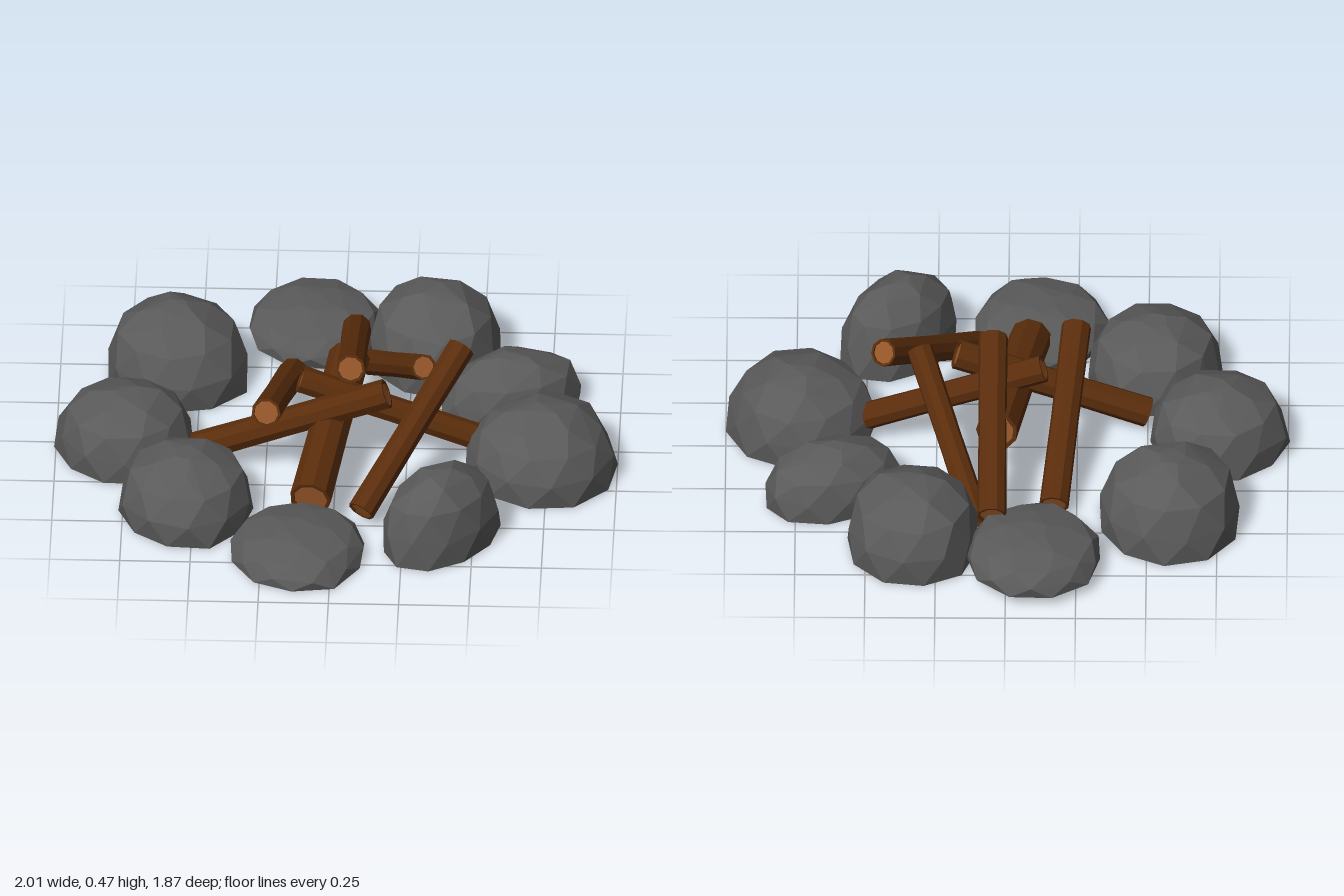
import * as THREE from 'three';
import { ConvexGeometry } from 'three/addons/geometries/ConvexGeometry.js';

const stone = new THREE.MeshStandardMaterial({ color: 0x5a5a5a, flatShading: true });
stone.name = 'grey stone';
const bark = new THREE.MeshStandardMaterial({ color: 0x5a2d0c, flatShading: true });
bark.name = 'dark bark';
const wood = new THREE.MeshStandardMaterial({ color: 0x96572a, flatShading: true });
wood.name = 'cut wood';

let seed = 11;
function jitter(amount) {
  seed = (seed * 16807) % 2147483647;
  return (seed / 2147483647 - 0.5) * 2 * amount;
}

// Stones: centre, half sizes, top height, turn about y, direction of the pointed corner
const rocks = [
  { name: 'backStone', at: [-.1, -.69], half: [.24, .25], top: .17, base: .05, nose: 1.3 },
  { name: 'backLeftStone', at: [.33, -.575], half: [.235, .25], top: .31, nose: 1.4 },
  { name: 'leftBackStone', at: [.615, -.28], half: [.25, .17], top: .23, turn: -.35, nose: Math.PI },
  { name: 'leftStone', at: [.735, .12], half: [.26, .265], top: .27, nose: 3 },
  { name: 'frontLeftStone', at: [.385, .58], half: [.235, .17], top: .31, turn: -.8, nose: .5 },
  { name: 'frontStone', at: [-.12, .685], half: [.235, .25], top: .13, nose: 1 },
  { name: 'frontRightStone', at: [-.525, .42], half: [.235, .25], top: .26, nose: 1.2 },
  { name: 'rightStone', at: [-.75, .035], half: [.24, .24], top: .26, nose: Math.PI },
  { name: 'backRightStone', at: [-.585, -.44], half: [.25, .25], top: .31, nose: .4 },
];

// Flat-bottomed faceted dome: rings shrink from the footprint to the crown
function makeRock({ name, at, half, top, base = 0.015, turn = 0, nose }) {
  const corners = 10;
  const rings = [[0, 1], [0.36, 0.98], [0.7, 0.83], [0.92, 0.52], [1, 0.2]];
  const points = [];
  rings.forEach(([level, scale], r) => {
    const step = r > 2 ? 2 : 1; // fewer, larger facets near the crown
    for (let i = 0; i < corners; i += step) {
      const angle = nose + ((i + (r % 2) / 2) / corners) * Math.PI * 2;
      const k = scale * (i === 0 && r < 2 ? 1.07 : 1.01) + jitter(0.03);
      const drop = r ? Math.min(0, jitter(0.06)) : 0;
      points.push(new THREE.Vector3(
        Math.cos(angle) * half[0] * k,
        base + (top - base) * (level + drop),
        Math.sin(angle) * half[1] * k));
    }
  });
  const mesh = new THREE.Mesh(new ConvexGeometry(points), stone);
  mesh.name = name;
  mesh.position.set(at[0], 0, at[1]);
  mesh.rotation.y = -turn;
  return mesh;
}

// Logs: upper end, lower end, radius
const logs = [
  [[-.245, .34, .28], [-.17, .06, -.4], .053],
  [[.05, .42, .11], [.05, .14, -.57], .053],
  [[.31, .4, .06], [.1, .05, -.49], .047],
  [[.44, .44, -.01], [.1, .08, .51], .05],
  [[.18, .33, .13], [-.5, .08, .12], .055],
  [[-.13, .33, .045], [.57, .08, .06], .05],
  [[.035, .25, -.22], [-.08, .12, .5], .075],
];

// Bark tube with a rim at each end around a slightly sunken wood face
function makeLog([from, to, radius], index) {
  const a = new THREE.Vector3(...from), b = new THREE.Vector3(...to);
  const h = a.distanceTo(b) / 2, inner = radius * 0.82, sunk = h - 0.008;
  const profile = [[inner, -sunk], [inner, -h], [radius, -h], [radius * 0.95, 0], [radius, h], [inner, h], [inner, sunk]]
    .map(([x, y]) => new THREE.Vector2(x, y));
  const log = new THREE.Group();
  log.name = `log${index + 1}`;
  const tube = new THREE.Mesh(new THREE.LatheGeometry(profile, 9), bark);
  tube.name = 'bark';
  log.add(tube);
  for (const side of [1, -1]) {
    const face = new THREE.Mesh(new THREE.CircleGeometry(inner * 1.05, 9), wood);
    face.name = 'cutEnd';
    face.rotation.x = -side * Math.PI / 2;
    face.position.y = side * sunk;
    log.add(face);
  }
  log.position.copy(a).add(b).multiplyScalar(0.5);
  log.quaternion.setFromUnitVectors(new THREE.Vector3(0, 1, 0), a.clone().sub(b).normalize());
  return log;
}

export function createModel() {
  const campfire = new THREE.Group();
  campfire.name = 'campfire';
  const ring = new THREE.Group();
  ring.name = 'stoneRing';
  seed = 11;
  rocks.forEach((rock) => ring.add(makeRock(rock)));
  const pile = new THREE.Group();
  pile.name = 'logPile';
  logs.forEach((log, i) => pile.add(makeLog(log, i)));
  campfire.add(ring, pile);
  return campfire;
}
